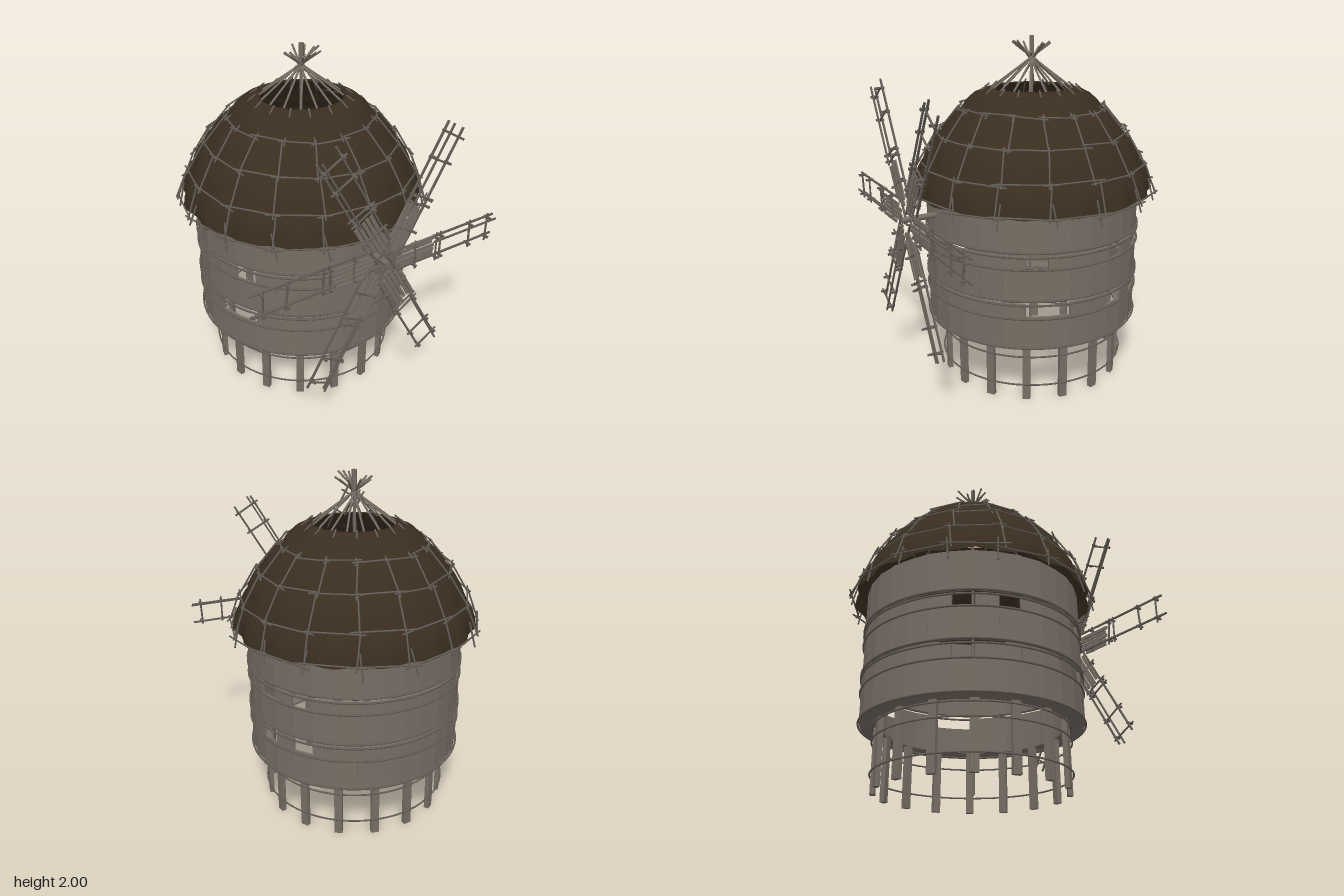
import * as THREE from 'three';
import { mergeGeometries } from 'three/addons/utils/BufferGeometryUtils.js';

const TAU = Math.PI * 2;
const V = (x, y, z) => new THREE.Vector3(x, y, z);
// point on a circle about the tower axis; angle 0 faces the front
const polar = (r, a, y) => V(r * Math.sin(a), y, r * Math.cos(a));

let seed = 7;
const rnd = (s) => {
  seed = (seed * 16807) % 2147483647;
  return (seed / 2147483647 - 0.5) * 2 * s;
};

// round stick between two points
function stick(a, b, r = 0.005) {
  const d = b.clone().sub(a);
  const g = new THREE.CylinderGeometry(r, r, d.length(), 6);
  g.applyQuaternion(new THREE.Quaternion().setFromUnitVectors(V(0, 1, 0), d.normalize()));
  return g.translate((a.x + b.x) / 2, (a.y + b.y) / 2, (a.z + b.z) / 2);
}

const box = (w, h, d, x, y, z) => new THREE.BoxGeometry(w, h, d).translate(x, y, z);

function hoop(r, y, t = 0.006) {
  return new THREE.TorusGeometry(r, t, 6, 64).rotateX(Math.PI / 2).translate(0, y, 0);
}

export function createModel() {
  const model = new THREE.Group();
  model.name = 'windmill';
  const wood = new THREE.MeshStandardMaterial({ name: 'weathered wood', color: 0x776d64 });
  const poles = new THREE.MeshStandardMaterial({ name: 'grey sticks', color: 0x645d56 });
  const thatch = new THREE.MeshStandardMaterial({ name: 'dark thatch', color: 0x3a2e20, side: THREE.DoubleSide });

  const tower = new THREE.Group();
  tower.name = 'tower';
  tower.position.z = -0.043;
  model.add(tower);
  const add = (parent, name, parts, material) => {
    const mesh = new THREE.Mesh(Array.isArray(parts) ? mergeGeometries(parts) : parts, material);
    mesh.name = name;
    parent.add(mesh);
    return mesh;
  };

  // legs, their hoops and the central post
  const legs = [];
  for (let i = 0; i < 16; i++) {
    const a = (i + 0.5) * TAU / 16;
    const p = polar(0.535, a, 0.19);
    legs.push(new THREE.BoxGeometry(0.045, 0.38, 0.028).rotateY(a).translate(p.x, p.y, p.z));
  }
  add(tower, 'legs', legs, wood);
  add(tower, 'legHoops', [0.095, 0.272, 0.35].map((y) => hoop(0.555, y, 0.005)), poles);
  add(tower, 'centralPost', stick(V(-0.015, 0, 0), V(0, 2, 0), 0.009), wood);
  add(tower, 'postCap', stick(V(0, 1.84, 0), V(0, 2, 0), 0.015), wood);

  // floor ring
  const floor = [[0.52, 0.37], [0.628, 0.37], [0.628, 0.385], [0.52, 0.385], [0.52, 0.37]];
  const floorGeo = new THREE.LatheGeometry(floor.map((p) => new THREE.Vector2(...p)), 64).toNonIndexed();
  floorGeo.computeVertexNormals();
  add(tower, 'floorRing', floorGeo, wood);

  // three tiers of wall planks, with window gaps on both sides
  const tiers = [
    { y0: 0.37, y1: 0.63, open: [1, 2, -2, -4] },
    { y0: 0.648, y1: 0.902, open: [2, -2, -4] },
    { y0: 0.922, y1: 1.16, open: [] },
  ];
  tiers.forEach(({ y0, y1, open }, t) => {
    const planks = [];
    for (let i = 0; i < 32; i++) {
      const a = (i + 0.5) * TAU / 32;
      // plank number counted from the side towards the front
      const fromSide = Math.round(Math.asin(Math.cos(a)) / (TAU / 32) + 0.5);
      const slot = fromSide > 0 ? fromSide - 1 : fromSide - 1;
      const top = open.includes(slot) ? y1 - 0.075 : y1;
      const p = polar(0.62, a, (y0 + top) / 2);
      planks.push(new THREE.BoxGeometry(0.126, top - y0, 0.014)
        .rotateY(a + rnd(0.05)).translate(p.x, p.y, p.z));
    }
    add(tower, 'wallTier' + (t + 1), planks, wood);
  });
  add(tower, 'wallHoops',
    [0.37, 0.545, 0.625, 0.65, 0.83, 0.9, 0.925].map((y) => hoop(0.636, y, 0.006)), poles);

  // bulging thatch tiers with a scalloped lower edge
  const profile = [
    [0.712, 1.13], [0.703, 1.18], [0.685, 1.23], [0.66, 1.275], [0.64, 1.295],
    [0.63, 1.33], [0.605, 1.38], [0.57, 1.43], [0.535, 1.46],
    [0.52, 1.49], [0.485, 1.535], [0.44, 1.575], [0.405, 1.6],
    [0.385, 1.635], [0.34, 1.675], [0.285, 1.7], [0.24, 1.71],
  ].map((p) => new THREE.Vector2(...p));
  const roof = new THREE.LatheGeometry(profile, 96);
  const pos = roof.attributes.position;
  for (let i = 0; i < pos.count; i++) {
    const x = pos.getX(i), y = pos.getY(i), z = pos.getZ(i);
    const depth = 0.04 * Math.max(0, (1.5 - y) / 0.37);
    const k = 1 - depth * (0.5 + 0.5 * Math.cos(16 * Math.atan2(x, z)));
    pos.setXYZ(i, x * k, y, z * k);
  }
  roof.computeVertexNormals();
  add(tower, 'thatchRoof', roof, thatch);

  // stick lattice lying over the thatch
  const rings = [[0.715, 1.14], [0.652, 1.3], [0.545, 1.462], [0.412, 1.602], [0.245, 1.712]];
  const lattice = [];
  for (let i = 0; i < 16; i++) {
    const a = i * TAU / 16;
    rings.forEach(([r, y], t) => {
      if (t < 4) {
        // cross stick, overshooting its neighbours
        const h = TAU / 32 * 1.3;
        const m = a + TAU / 32;
        lattice.push(stick(polar(r + 0.022 + rnd(0.006), m - h, y + rnd(0.015)),
          polar(r + 0.022 + rnd(0.006), m + h, y + rnd(0.015))));
        // sloping stick up to the next ring
        const [r2, y2] = rings[t + 1];
        const lo = polar(r + 0.02, a + rnd(0.03), y - 0.02);
        const hi = polar(r2 + 0.012, a + rnd(0.03), y2 + 0.012);
        lattice.push(stick(lo, hi));
      }
    });
    // loose stick hanging at the eaves
    lattice.push(stick(polar(0.725, a + rnd(0.05), 1.07 + rnd(0.02)), polar(0.69, a + rnd(0.03), 1.21)));
  }
  add(tower, 'roofLattice', lattice, poles);

  // open crown of crossing poles
  const crown = [];
  for (let i = 0; i < 16; i++) {
    const a = (i + 0.5) * TAU / 16;
    const reach = 0.08 + rnd(0.05);
    crown.push(stick(polar(0.25, a, 1.695), polar(-reach, a + rnd(0.25), 1.88 + reach * 0.75), 0.006));
  }
  add(tower, 'crownPoles', crown, wood);
  add(tower, 'crownHoop', hoop(0.242, 1.708, 0.005), thatch);

  // axle and hub
  const hubY = 1.037;
  add(model, 'axle', stick(V(0, hubY, 0.5), V(0, hubY, 0.785), 0.018), wood);

  // six sails: planked near the hub, open frame towards the tip
  const sails = new THREE.Group();
  sails.name = 'sails';
  sails.position.set(0, hubY, 0.762);
  model.add(sails);
  for (let i = 0; i < 6; i++) {
    const sail = new THREE.Group();
    sail.name = 'sail' + (i + 1);
    sail.rotation.z = i * TAU / 6;
    sails.add(sail);
    const planks = [];
    for (let j = 0; j < 5; j++) {
      const start = 0.06 + Math.abs(j - 2.6) * 0.03;
      const end = 0.33 + rnd(0.015);
      planks.push(box(end - start, 0.02, 0.008, (start + end) / 2, 0.045 - j * 0.026, rnd(0.004)));
    }
    add(sail, 'sailPlanks', planks, wood);
    const frame = [
      box(0.79, 0.01, 0.01, 0.4, 0.035, -0.014),
      box(0.74, 0.01, 0.01, 0.425, -0.088, -0.014),
      box(0.47, 0.009, 0.009, 0.56, 0.018, 0.014),
    ];
    for (const u of [0.2, 0.35, 0.385, 0.6, 0.74]) {
      frame.push(stick(V(u + rnd(0.008), 0.06, -0.002), V(u + rnd(0.008), -0.112, 0.004), 0.006));
      // lashing pegs at the rails
      for (const v of [0.035, -0.088]) frame.push(box(0.012, 0.012, 0.046, u, v, 0));
    }
    add(sail, 'sailFrame', frame, poles);
  }
  return model;
}
